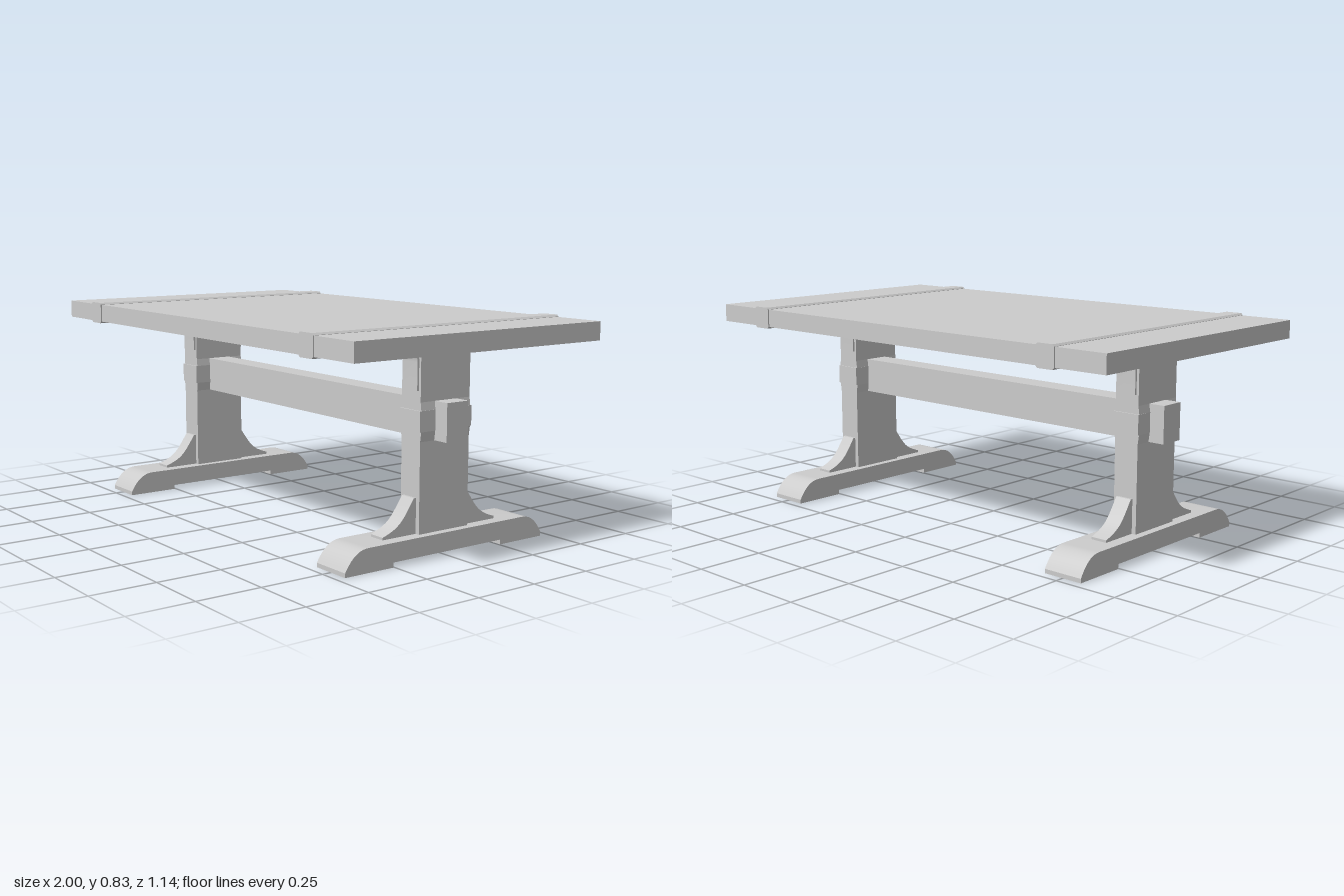
import * as THREE from 'three';
import { toCreasedNormals } from 'three/addons/utils/BufferGeometryUtils.js';

const material = new THREE.MeshStandardMaterial({ color: 0xcccccc });

function add(parent, name, geometry, x = 0, y = 0, z = 0) {
  const mesh = new THREE.Mesh(geometry, material);
  mesh.name = name;
  mesh.position.set(x, y, z);
  parent.add(mesh);
  return mesh;
}

function box(w, h, d) {
  return new THREE.BoxGeometry(w, h, d);
}

// Extrudes an (x, y) outline along z, centred
function extrude(shape, depth) {
  const geo = new THREE.ExtrudeGeometry(shape, { depth, bevelEnabled: false, curveSegments: 10 });
  return geo.translate(0, 0, -depth / 2);
}

// Extrudes a (z, y) side profile across x, centred
function sideProfile(shape, width) {
  return toCreasedNormals(extrude(shape, width).rotateY(-Math.PI / 2), 0.5);
}

// Rectangle outline with cut corners
function chamferedRect(hw, hh, cx, cy) {
  return new THREE.Shape([
    [-hw + cx, -hh], [hw - cx, -hh], [hw, -hh + cy], [hw, hh - cy],
    [hw - cx, hh], [-hw + cx, hh], [-hw, hh - cy], [-hw, -hh + cy],
  ].map(([x, y]) => new THREE.Vector2(x, y)));
}

// Sled foot: rounded ends and a shallow recess between two pads
function footShape() {
  const s = new THREE.Shape();
  s.moveTo(-0.465, 0);
  s.lineTo(-0.255, 0);
  s.lineTo(-0.255, 0.018);
  s.lineTo(0.255, 0.018);
  s.lineTo(0.255, 0);
  s.lineTo(0.465, 0);
  s.lineTo(0.465, 0.016);
  s.bezierCurveTo(0.44, 0.06, 0.41, 0.088, 0.365, 0.088);
  s.lineTo(-0.365, 0.088);
  s.bezierCurveTo(-0.41, 0.088, -0.44, 0.06, -0.465, 0.016);
  s.closePath();
  return s;
}

// Concave brace between foot and post
function braceShape() {
  const s = new THREE.Shape();
  s.moveTo(0.11, 0.085);
  s.lineTo(0.265, 0.085);
  s.lineTo(0.265, 0.097);
  s.bezierCurveTo(0.19, 0.122, 0.18, 0.135, 0.125, 0.218);
  s.lineTo(0.11, 0.218);
  s.closePath();
  return s;
}

// Thin bent strip between post and table top
function strapShape() {
  const s = new THREE.Shape();
  s.moveTo(0.114, 0.6);
  s.lineTo(0.123, 0.6);
  s.lineTo(0.123, 0.7);
  s.bezierCurveTo(0.123, 0.727, 0.14, 0.743, 0.17, 0.743);
  s.lineTo(0.17, 0.751);
  s.bezierCurveTo(0.134, 0.751, 0.114, 0.73, 0.114, 0.7);
  s.closePath();
  return s;
}

export function createModel() {
  const table = new THREE.Group();
  table.name = 'trestleTable';

  add(table, 'tableTop', box(2, 0.07, 1.13), 0, 0.785, 0);
  add(table, 'stretcher', box(1.73, 0.14, 0.1), 0, 0.49, 0);

  const foot = sideProfile(footShape(), 0.16);
  const brace = sideProfile(braceShape(), 0.065);
  const strap = sideProfile(strapShape(), 0.08);
  const band = extrude(chamferedRect(0.04, 0.0425, 0.007, 0.007), 1.14);
  const collar = extrude(chamferedRect(0.055, 0.07, 0.005, 0.035), 0.23);

  for (const side of [-1, 1]) {
    const trestle = new THREE.Group();
    trestle.name = side > 0 ? 'leftTrestle' : 'rightTrestle';
    trestle.position.x = side * 0.75;
    table.add(trestle);

    add(trestle, 'topBand', band, 0, 0.7855, 0);
    add(trestle, 'post', box(0.1, 0.67, 0.23), 0, 0.417, 0);
    add(trestle, 'collar', collar, 0, 0.49, 0);
    add(trestle, 'collarBand', box(0.11, 0.075, 0.242), 0, 0.4925, 0);
    add(trestle, 'foot', foot);

    // Front and back supports
    for (const turn of [0, Math.PI]) {
      add(trestle, 'lowerBrace', brace).rotation.y = turn;
      add(trestle, 'upperStrap', strap).rotation.y = turn;
    }
  }
  return table;
}
